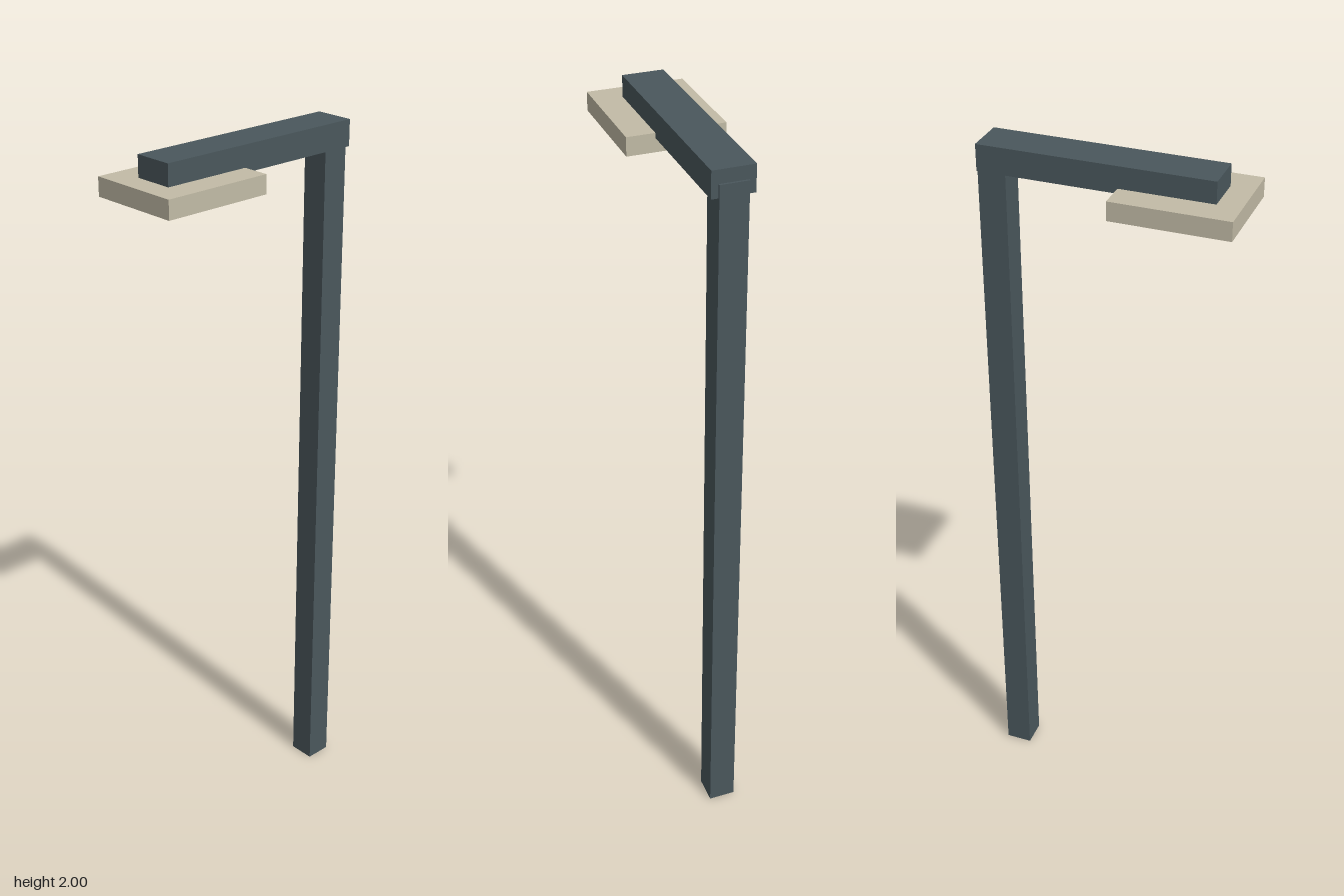
import * as THREE from 'three';

export function createModel() {
  const group = new THREE.Group();
  group.name = 'streetLamp';

  const steel = new THREE.MeshStandardMaterial({ color: 0x4a575c });
  steel.name = 'slateSteel';
  const cream = new THREE.MeshStandardMaterial({ color: 0xc2bba6 });
  cream.name = 'paleLampCream';

  // Box centred on x = 0, given its width and its y and z ranges
  function addBox(name, material, width, [y0, y1], [z0, z1]) {
    const mesh = new THREE.Mesh(new THREE.BoxGeometry(width, y1 - y0, z1 - z0), material);
    mesh.name = name;
    mesh.position.set(0, (y0 + y1) / 2, (z0 + z1) / 2);
    group.add(mesh);
  }

  // Upright post, reaching just into the arm and slightly proud of its back
  addBox('post', steel, 0.074, [0, 1.965], [-0.341, -0.267]);
  // Arm reaching forward from the post
  addBox('arm', steel, 0.11, [1.93, 2], [-0.335, 0.278]);
  // Flat lamp head under the arm's front end
  addBox('lampHead', cream, 0.26, [1.893, 1.943], [0.032, 0.341]);

  return group;
}
